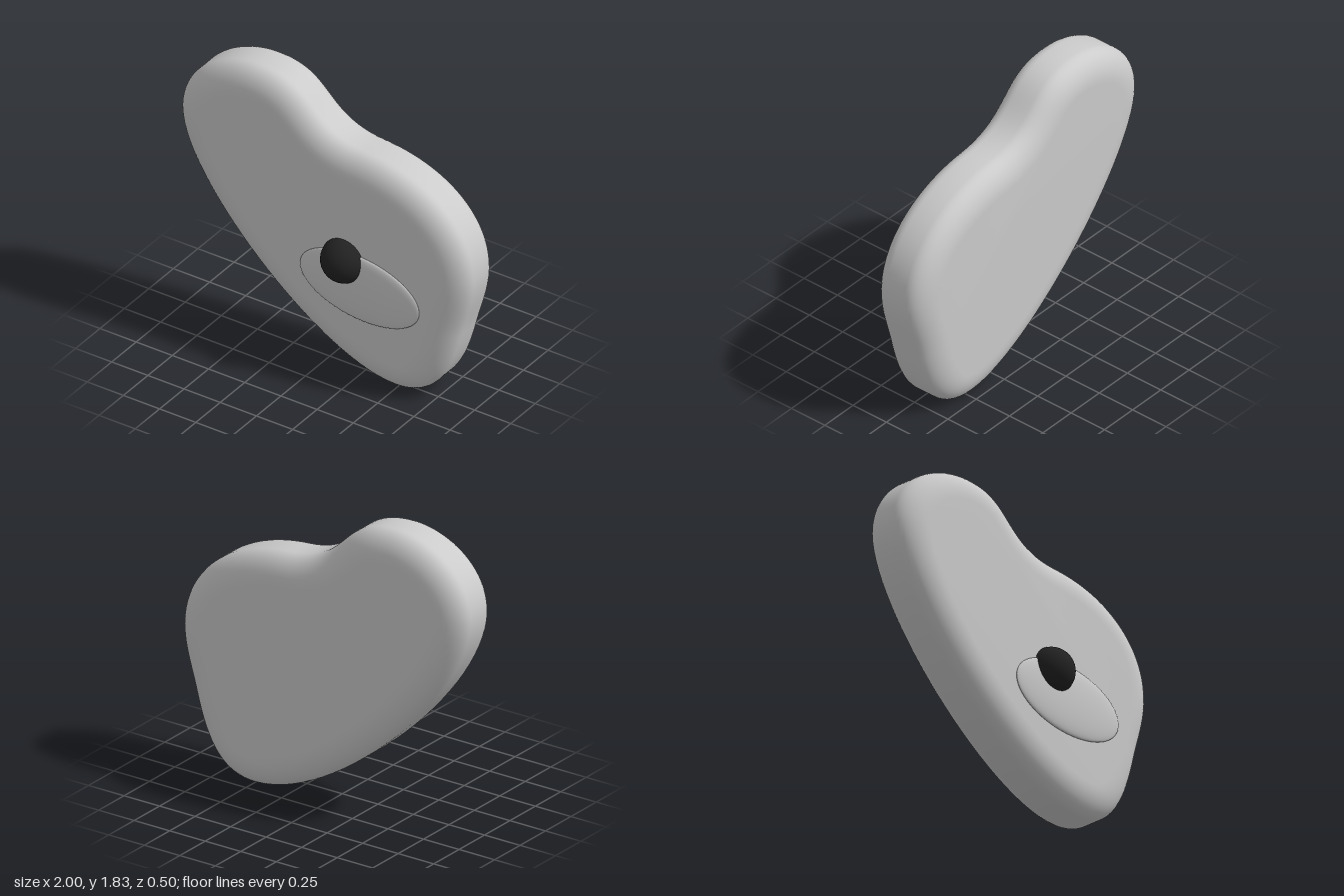
import * as THREE from 'three';
import { toCreasedNormals } from 'three/addons/utils/BufferGeometryUtils.js';

const grey = new THREE.MeshStandardMaterial({ color: 0xcccccc });
const black = new THREE.MeshStandardMaterial({ color: 0x222222 });

function addMesh(group, name, geometry, material) {
  const mesh = new THREE.Mesh(geometry, material);
  mesh.name = name;
  group.add(mesh);
  return mesh;
}

// Lopsided heart outline, clockwise from the far left
function bodyOutline() {
  const s = new THREE.Shape();
  s.moveTo(-1, 1.38);
  s.bezierCurveTo(-1, 1.66, -0.72, 1.83, -0.48, 1.83);
  s.bezierCurveTo(-0.08, 1.83, -0.16, 1.53, 0.25, 1.5);
  s.bezierCurveTo(0.72, 1.47, 0.997, 1.2, 0.997, 0.88);
  s.bezierCurveTo(0.997, 0.74, 0.945, 0.62, 0.91, 0.48);
  s.bezierCurveTo(0.84, 0.2, 0.74, 0, 0.49, 0);
  s.bezierCurveTo(-0.05, 0, -1, 0.91, -1, 1.38);
  return s;
}

export function createModel() {
  const group = new THREE.Group();

  // Thick slab with softly rounded rims
  const bodyGeometry = new THREE.ExtrudeGeometry(bodyOutline(), {
    depth: 0.13, curveSegments: 28,
    bevelEnabled: true, bevelThickness: 0.12, bevelSize: 0.18,
    bevelOffset: -0.18, bevelSegments: 10,
  });
  bodyGeometry.translate(0, 0, -0.13);
  addMesh(group, 'body', toCreasedNormals(bodyGeometry, 0.7), grey);

  // Flat oval muzzle on the front face
  const muzzle = addMesh(group, 'muzzle', new THREE.SphereGeometry(1, 64, 32), grey);
  muzzle.scale.set(0.413, 0.215, 0.032);
  muzzle.position.set(0.29, 0.642, 0.125);
  muzzle.rotation.z = -0.08;

  // Round nose
  const nose = addMesh(group, 'nose', new THREE.SphereGeometry(0.141, 40, 24), black);
  nose.position.set(0.175, 0.79, 0.108);

  return group;
}
